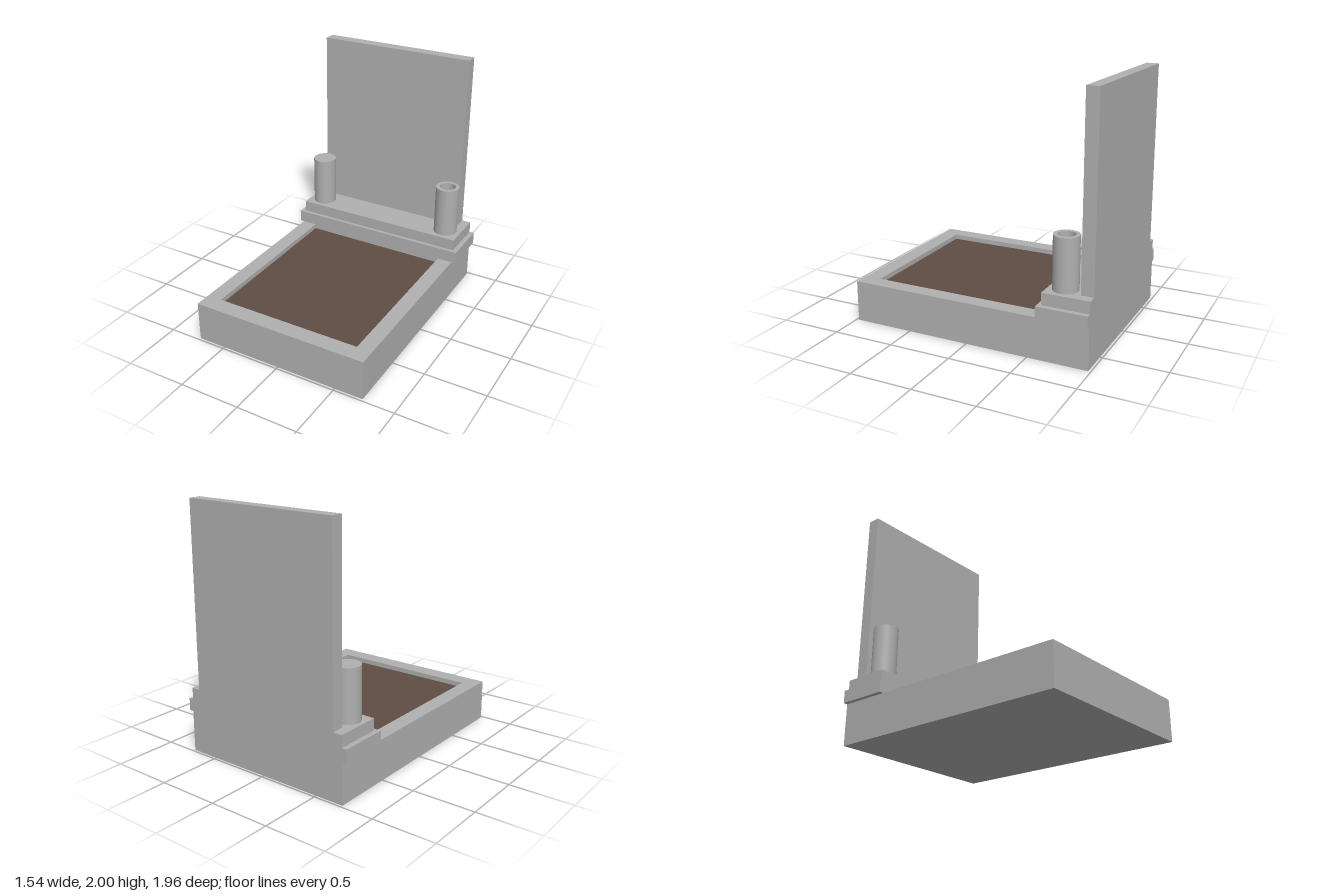
import * as THREE from 'three';

const stone = new THREE.MeshStandardMaterial({ color: 0xb0b0b0 });
stone.name = 'stone grey';
const earth = new THREE.MeshStandardMaterial({ color: 0x5f4d45 });
earth.name = 'earth brown';

export function createModel() {
  const model = new THREE.Group();
  model.name = 'memorial';

  const add = (name, geometry, material = stone) => {
    const mesh = new THREE.Mesh(geometry, material);
    mesh.name = name;
    model.add(mesh);
    return mesh;
  };

  // Box given by its limits on each axis
  const block = (name, [x0, x1], [y0, y1], [z0, z1], material) =>
    add(name, new THREE.BoxGeometry(x1 - x0, y1 - y0, z1 - z0), material)
      .position.set((x0 + x1) / 2, (y0 + y1) / 2, (z0 + z1) / 2);

  const rect = (Type, x0, x1, y0, y1) => new Type().setFromPoints([
    new THREE.Vector2(x0, y0), new THREE.Vector2(x1, y0),
    new THREE.Vector2(x1, y1), new THREE.Vector2(x0, y1),
  ]).closePath();

  // Base slab with a raised rim around the sunken bed
  const bedTop = 0.29, rimTop = 0.33;
  block('baseSlab', [-0.735, 0.735], [0, bedTop - 0.005], [-0.98, 0.98]);
  const rim = rect(THREE.Shape, -0.735, 0.735, -0.98, 0.98);
  rim.holes.push(rect(THREE.Path, -0.61, 0.61, -0.845, 0.58)); // shape y becomes -z
  const rimGeometry = new THREE.ExtrudeGeometry(rim, { depth: rimTop - bedTop + 0.005, bevelEnabled: false });
  rimGeometry.rotateX(-Math.PI / 2).translate(0, bedTop - 0.005, 0);
  add('baseRim', rimGeometry);
  block('earthBed', [-0.61, 0.61], [bedTop - 0.005, bedTop], [-0.58, 0.845], earth);

  // Two steps and the upright slab, flush at the back
  block('lowerStep', [-0.77, 0.77], [rimTop, 0.43], [-0.98, -0.58]);
  block('upperStep', [-0.73, 0.73], [0.43, 0.525], [-0.98, -0.61]);
  block('headstone', [-0.655, 0.655], [0.525, 2], [-0.98, -0.88]);

  // Solid pillar on the right
  add('pillar', new THREE.CylinderGeometry(0.098, 0.098, 0.415, 48))
    .position.set(-0.6, 0.7325, -0.742);

  // Hollow vase on the left: separate lathes keep the edges sharp
  const vase = new THREE.Group();
  vase.name = 'vase';
  vase.position.set(0.595, 0.525, -0.742);
  const profiles = {
    vaseWall: [[0.098, 0], [0.098, 0.415]],
    vaseLip: [[0.098, 0.415], [0.066, 0.415]],
    vaseBore: [[0.066, 0.415], [0.066, 0.1]],
    vaseFloor: [[0.066, 0.1], [0, 0.1]],
  };
  for (const [name, points] of Object.entries(profiles)) {
    const part = new THREE.Mesh(
      new THREE.LatheGeometry(points.map(([r, y]) => new THREE.Vector2(r, y)), 48), stone);
    part.name = name;
    vase.add(part);
  }
  model.add(vase);

  return model;
}
